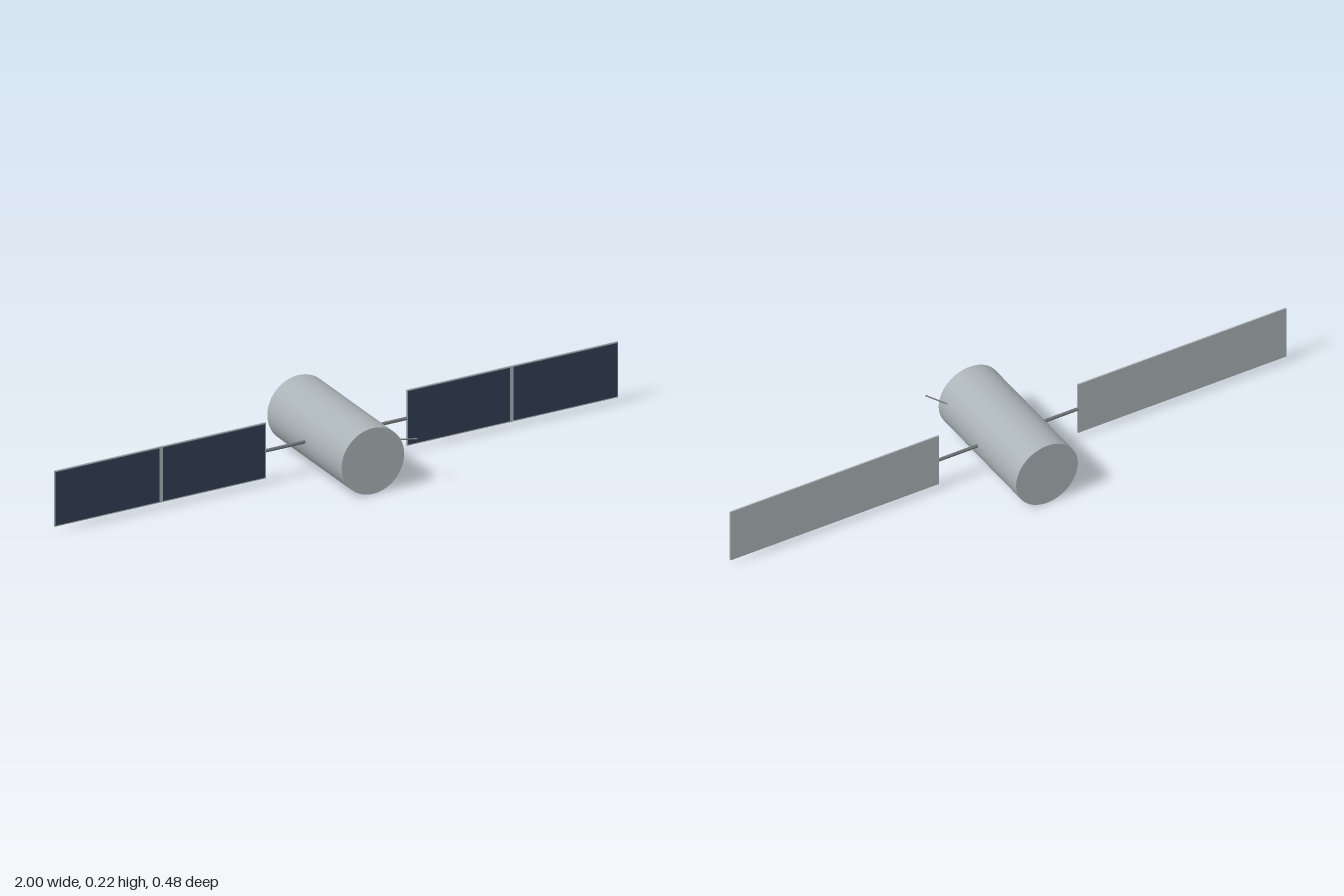
import * as THREE from 'three';

const material = (name, color) => new THREE.MeshStandardMaterial({ name, color });

export function createModel() {
  const hull = material('hullGrey', 0xa9b2b5);
  const cell = material('cellNavy', 0x2f3d52);
  const metal = material('darkMetal', 0x6c7275);
  const model = new THREE.Group();
  model.name = 'satellite';

  const add = (name, geometry, mat, x, y, z) => {
    const mesh = new THREE.Mesh(geometry, mat);
    mesh.name = name;
    mesh.position.set(x, y, z);
    model.add(mesh);
    return mesh;
  };

  const axisY = 0.112, panelZ = -0.006, panelY = 0.114;

  // Cylindrical body lying along z
  add('body', new THREE.CylinderGeometry(0.111, 0.111, 0.465, 64).rotateX(Math.PI / 2),
    hull, 0, axisY, -0.0075);

  // Mirrored struts and solar wings
  for (const [side, s] of [['left', 1], ['right', -1]]) {
    add(side + 'Strut', new THREE.CylinderGeometry(0.0055, 0.0055, 0.16, 20).rotateZ(Math.PI / 2),
      metal, s * 0.17, axisY, panelZ);
    add(side + 'Panel', new THREE.BoxGeometry(0.75, 0.188, 0.005), hull, s * 0.625, panelY, panelZ);

    // Two fields of solar cells on the front, leaving a frame and a divider
    for (const x of [0.4345, 0.8125]) {
      const w = x < 0.6 ? 0.361 : 0.367;
      add(side + 'SolarCells', new THREE.BoxGeometry(w, 0.18, 0.001), cell,
        s * x, panelY, panelZ + 0.003);
    }
  }

  // Slanted antenna on the left flank
  const from = new THREE.Vector3(0.1, 0.145, 0.179);
  const to = new THREE.Vector3(0.149, 0.16, 0.24);
  const dir = to.clone().sub(from);
  const mid = from.clone().add(to).multiplyScalar(0.5);
  const antenna = add('antenna', new THREE.CylinderGeometry(0.0022, 0.0022, dir.length(), 12),
    metal, mid.x, mid.y, mid.z);
  antenna.quaternion.setFromUnitVectors(new THREE.Vector3(0, 1, 0), dir.normalize());

  return model;
}
